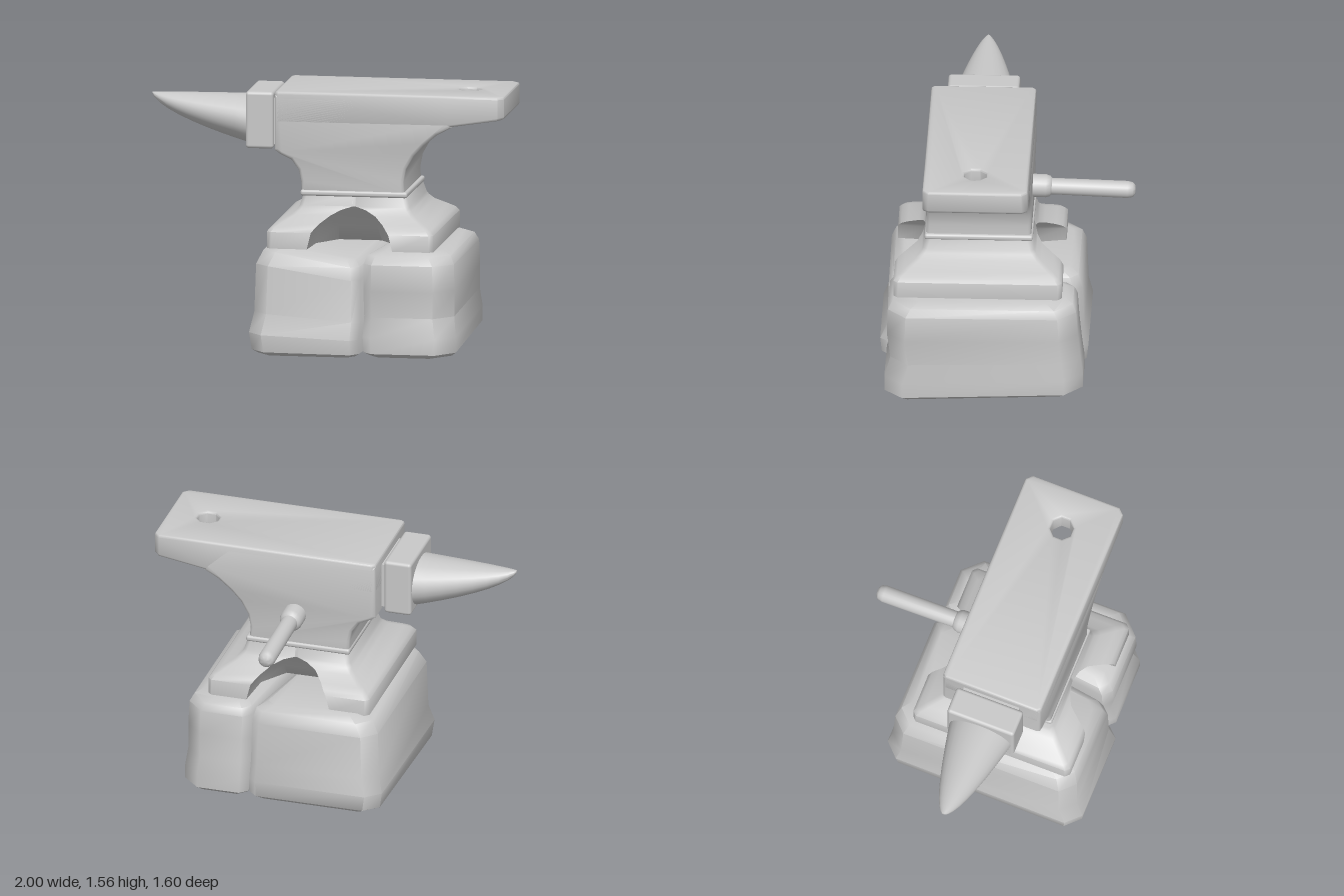
import * as THREE from 'three';
import { toCreasedNormals } from 'three/addons/utils/BufferGeometryUtils.js';
import { RoundedBoxGeometry } from 'three/addons/geometries/RoundedBoxGeometry.js';

const CREASE = 0.85;

// Skin a stack of equal-length 2D rings; place(p, q, level) puts each point in space
function loft(rings, levels, place) {
  const n = rings[0].length, pos = [], idx = [];
  rings.forEach((ring, k) => ring.forEach(([p, q]) => pos.push(...place(p, q, levels[k]))));
  for (let k = 0; k < rings.length - 1; k++) {
    for (let i = 0; i < n; i++) {
      const a = k * n + i, b = k * n + (i + 1) % n;
      idx.push(a, b, b + n, a, b + n, a + n);
    }
  }
  const cap = (k, flip) => {
    const pts = rings[k].map(([p, q]) => new THREE.Vector2(p, q));
    for (const [a, b, c] of THREE.ShapeUtils.triangulateShape(pts, [])) {
      const o = k * n;
      idx.push(o + a, o + (flip ? c : b), o + (flip ? b : c));
    }
  };
  cap(0, true);
  cap(rings.length - 1, false);
  const g = new THREE.BufferGeometry();
  g.setAttribute('position', new THREE.Float32BufferAttribute(pos, 3));
  g.setIndex(idx);
  return toCreasedNormals(g, CREASE);
}

// Rectangle with corners cut by c on the low-x side and d on the high-x side, listed as [z, x]
const cutRect = (x0, x1, z0, z1, c, d) => [
  [z1, x0 + c], [z1, x1 - d], [z1 - d, x1], [z0 + d, x1],
  [z0, x1 - d], [z0, x0 + c], [z0 + c, x0], [z1 - c, x0],
];

// Square with a rounded cove of half width n in the front and back, reaching in to d
const covedSquare = (s, c, n, d) => {
  const m = s - (s - d) * 0.6;
  const half = [
    [s, c - s], [s, -n], [m, -n * 0.93], [d, -n * 0.5], [d, n * 0.5], [m, n * 0.93],
    [s, n], [s, s - c], [s - c, s], [c - s, s],
  ];
  return [...half, ...half.map(([p, q]) => [-p, -q])];
};

const bevelled = (shape, depth, bevel) => new THREE.ExtrudeGeometry(shape, {
  depth: depth - 2 * bevel, bevelThickness: bevel, bevelSize: bevel,
  bevelOffset: -bevel, bevelSegments: 2, curveSegments: 8,
}).translate(0, 0, bevel);

const shapeOf = (pts) => new THREE.Shape(pts.map(([x, y]) => new THREE.Vector2(x, y)));

export function createModel() {
  const model = new THREE.Group();
  const grey = new THREE.MeshStandardMaterial({ color: 0xc8c8c8 });
  grey.name = 'grey';
  const anvil = new THREE.Group();
  anvil.name = 'anvilOnStones';
  anvil.rotation.y = THREE.MathUtils.degToRad(32);
  model.add(anvil);
  const add = (name, geometry) => {
    const mesh = new THREE.Mesh(geometry, grey);
    mesh.name = name;
    anvil.add(mesh);
    return mesh;
  };
  const cz = 0.063; // middle of the anvil's thickness

  // Two stones: rows are y, x0, x1, z0, z1
  const stone = (name, rows, cutLow, cutHigh, sag) => add(name, loft(
    rows.map(([, ...r]) => cutRect(...r, cutLow, cutHigh)),
    rows.map((r) => r[0]),
    (z, x, y) => {
      const lift = 0.05 * (0.6 - z) / 1.2 * (1 - y / 0.65);
      const drop = sag * Math.max(0, (x + 0.3) / 0.5) * Math.max(0, z / 0.6) * y / 0.65;
      const skew = -0.13 * z * THREE.MathUtils.clamp(1 - Math.abs(x - 0.2) / 0.4, 0, 1);
      return [x + skew, y + lift - drop, z];
    }));
  stone('hornSideStone', [
    [0.00, -0.50, 0.17, -0.55, 0.62],
    [0.025, -0.53, 0.205, -0.58, 0.655],
    [0.13, -0.545, 0.205, -0.59, 0.665],
    [0.25, -0.52, 0.205, -0.565, 0.62],
    [0.54, -0.51, 0.20, -0.555, 0.615],
    [0.62, -0.47, 0.185, -0.53, 0.585],
    [0.65, -0.42, 0.14, -0.48, 0.53],
  ], 0.085, 0.05, 0.1);
  stone('heelSideStone', [
    [0.00, 0.25, 0.67, -0.54, 0.59],
    [0.025, 0.22, 0.70, -0.57, 0.62],
    [0.12, 0.215, 0.70, -0.57, 0.62],
    [0.24, 0.215, 0.685, -0.555, 0.585],
    [0.40, 0.215, 0.69, -0.54, 0.605],
    [0.56, 0.215, 0.685, -0.53, 0.60],
    [0.61, 0.23, 0.66, -0.51, 0.57],
    [0.635, 0.27, 0.61, -0.46, 0.52],
  ], 0.05, 0.11, 0);

  // Flared foot with a cove front and back: y, half size, cove half width, cove reach
  const foot = [
    [0.64, 0.505, 0.26, 0.10], [0.74, 0.505, 0.235, 0.19], [0.765, 0.485, 0.215, 0.215],
    [0.79, 0.445, 0.19, 0.24], [0.83, 0.375, 0.135, 0.28], [0.86, 0.345, 0.075, 0.315],
    [0.88, 0.333, 0.01, 0.332], [0.95, 0.312, 0.01, 0.311],
  ];
  add('archedFoot', loft(
    foot.map(([, s, n, d]) => covedSquare(s, 0.025, n, d)),
    foot.map((r) => r[0]),
    (z, x, y) => [x + 0.063, y, z + cz]));

  // Ridge around the waist
  add('waistRidge', new RoundedBoxGeometry(0.65, 0.036, 0.65, 3, 0.015)).position.set(0.058, 0.953, cz);

  // Body with curved throat under horn and heel
  const body = shapeOf([
    [-0.26, 0.94], [0.365, 0.94], [0.36, 1.03], [0.375, 1.11], [0.42, 1.19], [0.48, 1.255],
    [0.56, 1.32], [0.65, 1.37], [0.64, 1.41], [0.5, 1.54], [-0.425, 1.54],
    [-0.425, 1.205], [-0.39, 1.18], [-0.325, 1.15], [-0.28, 1.09], [-0.265, 1.02],
  ]);
  add('body', toCreasedNormals(bevelled(body, 0.63, 0.02).translate(0, 0, cz - 0.315), CREASE));

  // Face plate with the tool hole through the heel
  const plate = shapeOf([
    [-0.425, -0.358], [-0.405, -0.378], [0.62, -0.378], [0.93, -0.378], [0.965, -0.343],
    [0.965, 0.217], [0.93, 0.252], [0.62, 0.252], [-0.405, 0.252], [-0.425, 0.232],
  ]);
  const hole = new THREE.Path();
  for (let i = 0; i < 8; i++) {
    const t = -(i + 0.5) * Math.PI / 4;
    const x = 0.715 + 0.07 * Math.cos(t), y = -0.068 + 0.07 * Math.sin(t);
    if (i) hole.lineTo(x, y); else hole.moveTo(x, y);
  }
  hole.closePath();
  plate.holes.push(hole);
  const plateGeo = bevelled(plate, 0.195, 0.015).rotateX(-Math.PI / 2).translate(0, 1.366, 0);
  const pp = plateGeo.attributes.position;
  for (let i = 0; i < pp.count; i++) { // underside rises toward the heel tip
    if (pp.getY(i) < 1.45) pp.setY(i, pp.getY(i) + 0.055 * Math.max(0, (pp.getX(i) - 0.6) / 0.35));
  }
  add('facePlate', toCreasedNormals(plateGeo, CREASE));

  // Horn collar block, with a narrow neck joining it to the body
  add('hornCollar', new RoundedBoxGeometry(0.17, 0.345, 0.43, 3, 0.02)).position.set(-0.533, 1.368, 0.067);
  add('hornNeck', new THREE.BoxGeometry(0.1, 0.28, 0.36)).position.set(-0.43, 1.36, 0.067);

  // Horn: flat on top, tapering to a blunt tip
  const steps = [1, 0.85, 0.7, 0.55, 0.4, 0.27, 0.16, 0.08, 0.03, 0.006];
  add('horn', loft(
    steps.map((s) => {
      const w = s ** 0.6;
      return Array.from({ length: 24 }, (_, i) => {
        const t = i / 24 * Math.PI * 2;
        return [0.067 + 0.2 * w * Math.cos(t), 1.49 - 0.145 * w + 0.15 * w * Math.sin(t)];
      });
    }),
    steps,
    (z, y, s) => [-1.22 + 0.62 * s, y, z]));

  // Bar sticking out of the back, thicker where it enters the body
  const bar = [
    [0, 0], [0.07, 0], [0.07, 0.13], [0.062, 0.155], [0.05, 0.165],
    [0.052, 0.62], [0.045, 0.65], [0.028, 0.665], [0, 0.668],
  ].map(([r, y]) => new THREE.Vector2(r, y));
  const rod = add('backBar', toCreasedNormals(new THREE.LatheGeometry(bar, 20), CREASE));
  rod.position.set(0.077, 1.16, -0.2);
  rod.rotation.x = -Math.PI / 2 - 0.03;

  return model;
}
